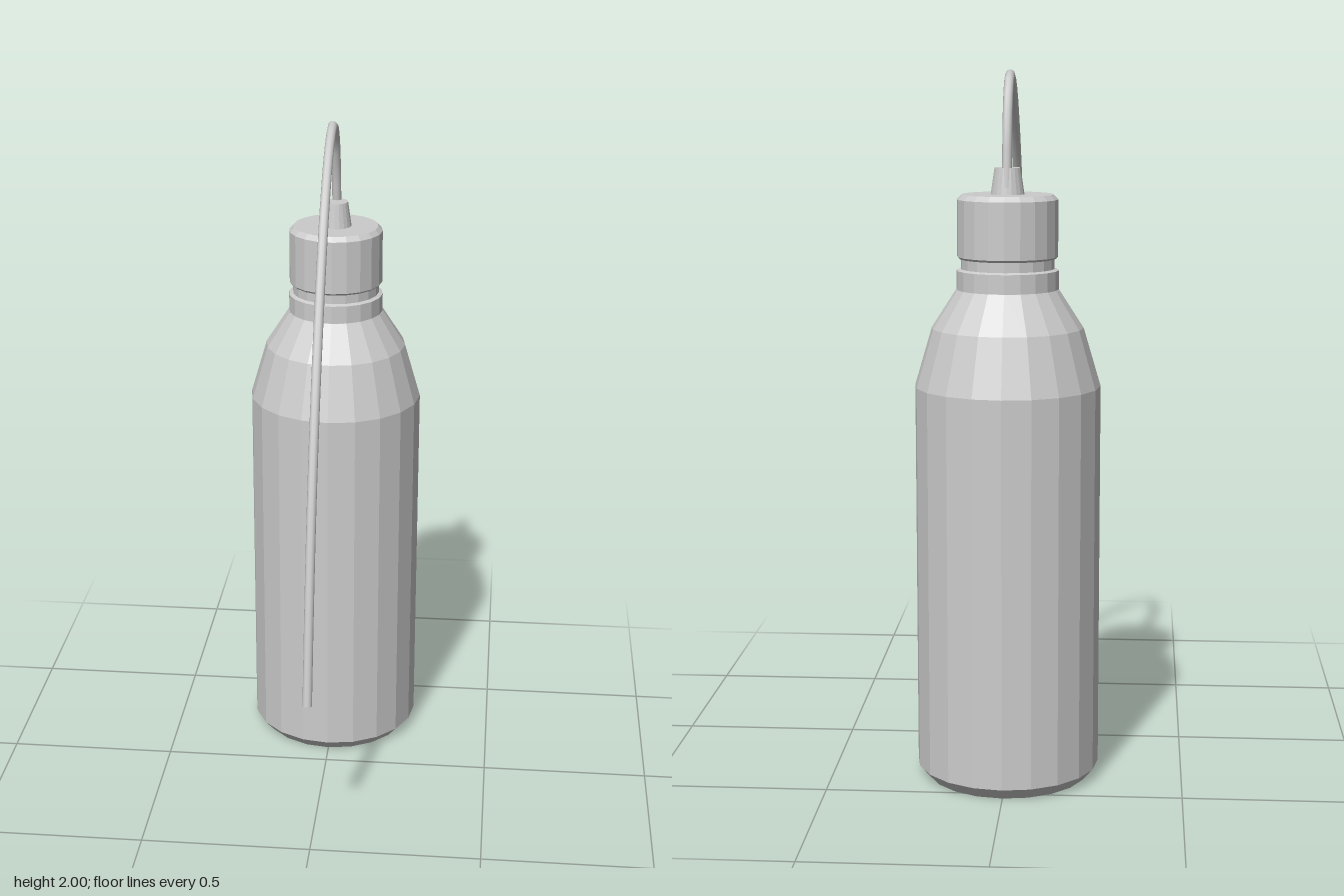
import * as THREE from 'three';

const SIDES = 20;
const AXIS_Z = -0.305;
const TUBE_RADIUS = 0.0135;

function material(flatShading) {
  return new THREE.MeshStandardMaterial({ color: 0xcccccc, flatShading });
}

// Faceted part turned around the bottle axis, profile given bottom to top as [radius, height]
function turned(name, profile, sides = SIDES) {
  const points = profile.map(([r, y]) => new THREE.Vector2(r, y));
  const mesh = new THREE.Mesh(new THREE.LatheGeometry(points, sides), material(true));
  mesh.name = name;
  mesh.position.z = AXIS_Z;
  return mesh;
}

// Bent straw with closed ends
function createStraw() {
  const straw = new THREE.Group();
  straw.name = 'straw';
  const path = new THREE.CatmullRomCurve3([
    [1.68, -0.336], [1.75, -0.327], [1.84, -0.312], [1.935, -0.275], [1.986, -0.212],
    [1.95, -0.1], [1.82, 0.035], [1.62, 0.167], [1.36, 0.3],
    [1.07, 0.413], [0.81, 0.486], [0.512, 0.552],
  ].map(([y, z]) => new THREE.Vector3(0, y, z)));

  const tube = new THREE.Mesh(new THREE.TubeGeometry(path, 40, TUBE_RADIUS, 10), material(false));
  tube.name = 'strawTube';
  straw.add(tube);

  for (const [name, t, sign] of [['strawBase', 0, -1], ['strawTip', 1, 1]]) {
    const end = new THREE.Mesh(new THREE.CircleGeometry(TUBE_RADIUS, 10), material(true));
    end.name = name;
    end.position.copy(path.getPoint(t));
    const outward = path.getTangent(t).multiplyScalar(sign);
    end.quaternion.setFromUnitVectors(new THREE.Vector3(0, 0, 1), outward);
    straw.add(end);
  }
  return straw;
}

export function createModel() {
  const model = new THREE.Group();
  model.name = 'squeezeBottle';

  // Body with bevelled base, sloping shoulder and neck
  model.add(turned('bottleBody', [
    [0, 0], [0.23, 0], [0.26, 0.035], [0.26, 1.13], [0.212, 1.293],
    [0.143, 1.4], [0.13, 1.4], [0.13, 1.49], [0, 1.49],
  ]));

  // Collar below the cap
  model.add(turned('neckRing', [
    [0.128, 1.4], [0.142, 1.4], [0.142, 1.453], [0.128, 1.458],
  ]));

  // Screw cap with a bevelled top edge
  model.add(turned('cap', [
    [0, 1.485], [0.134, 1.485], [0.14, 1.491], [0.14, 1.648], [0.127, 1.662], [0, 1.662],
  ]));

  // Tapered nozzle holding the straw
  model.add(turned('nozzle', [
    [0.047, 1.66], [0.036, 1.735], [0, 1.735],
  ]));

  model.add(createStraw());
  return model;
}
